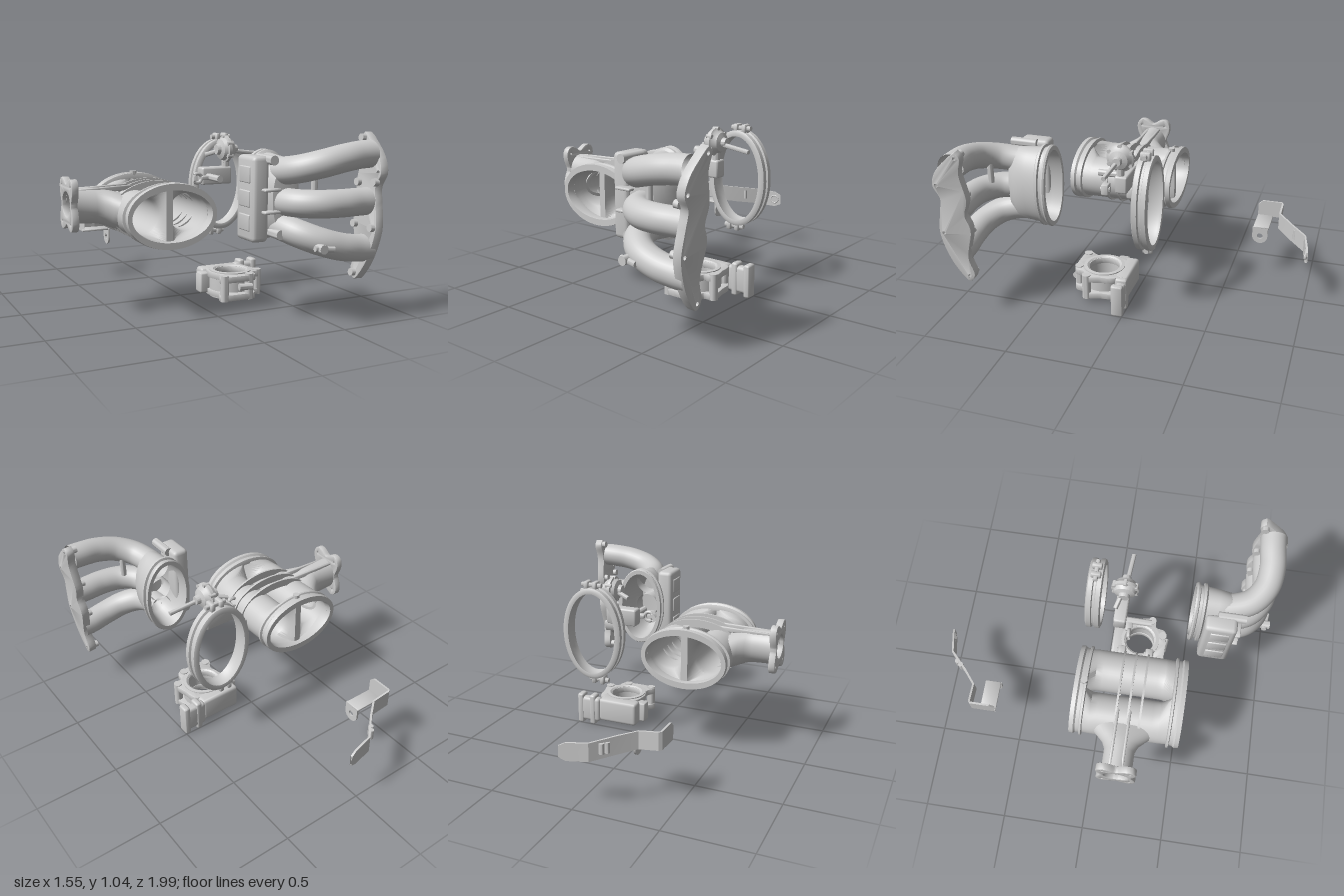
import * as THREE from 'three';
import { toCreasedNormals } from 'three/addons/utils/BufferGeometryUtils.js';
import { RoundedBoxGeometry } from 'three/addons/geometries/RoundedBoxGeometry.js';

const mat = new THREE.MeshStandardMaterial({ color: 0xcccccc, side: THREE.DoubleSide });
const V = (x, y, z) => new THREE.Vector3(x, y, z);

function add(parent, name, geo, crease = 0.7) {
  const m = new THREE.Mesh(toCreasedNormals(geo, crease), mat);
  m.name = name;
  parent.add(m);
  return m;
}
function group(parent, name) {
  const g = new THREE.Group();
  g.name = name;
  parent.add(g);
  return g;
}
// skin through closed loops of points
function loft(loops) {
  const n = loops[0].length, idx = [];
  for (let i = 0; i < loops.length - 1; i++)
    for (let j = 0; j < n; j++) {
      const k = (j + 1) % n, a = i * n + j, b = i * n + k, c = b + n, d = a + n;
      idx.push(a, b, c, a, c, d);
    }
  const g = new THREE.BufferGeometry().setFromPoints(loops.flat());
  g.setIndex(idx);
  g.computeVertexNormals();
  return g;
}
const ring = (n, f) => Array.from({ length: n }, (_, j) => f((j / n) * Math.PI * 2));
// elliptical lathe along z; profile rows are [rx, ry, z]
const ellipse = (cx, cy, profile, n = 56) => loft(profile.map(([rx, ry, z]) =>
  ring(n, t => V(cx + rx * Math.cos(t), cy + ry * Math.sin(t), z))));
const box = (p, name, x0, x1, y0, y1, z0, z1, r = 0.01) => add(p, name,
  new RoundedBoxGeometry(x1 - x0, y1 - y0, z1 - z0, 2, r).translate((x0 + x1) / 2, (y0 + y1) / 2, (z0 + z1) / 2));
// cylinder between two points
function rod(p, name, a, b, r, r2 = r, n = 20) {
  const d = b.clone().sub(a);
  const m = add(p, name, new THREE.CylinderGeometry(r2, r, d.length(), n));
  m.position.copy(a).addScaledVector(d, 0.5);
  m.quaternion.setFromUnitVectors(V(0, 1, 0), d.normalize());
  return m;
}
const extrude = (shape, depth, bevel = 0) => new THREE.ExtrudeGeometry(shape, {
  depth, curveSegments: 24, bevelEnabled: bevel > 0, bevelSize: bevel, bevelThickness: bevel, bevelSegments: 2 });
const hole = (x, y, r) => new THREE.Path().absarc(x, y, r, 0, Math.PI * 2, true);

function airbox(root) {
  const g = group(root, 'airPlenum'), cx = -0.275, cy = 0.59;
  // two tubes that merge into one oval at both ends
  const section = (s, z, w) => {
    const u = Math.min(1, Math.min(z + 0.11, 0.45 - z) / 0.09), b = u * u * (3 - 2 * u);
    return ring(40, t => {
      const c = Math.cos(t), y = Math.sin(t);
      const dx = w + Math.max(0, c) * (0.252 - 2 * w), rx = 0.133 + (0.122 - w) * c;
      return V(cx + s * (dx + (rx - dx) * b), cy + y * (0.166 + (0.125 - 0.166) * b - w), z);
    });
  };
  for (const s of [-1, 1]) {
    const zs = Array.from({ length: 15 }, (_, i) => -0.11 + 0.04 * i);
    const loops = [...zs.map(z => section(s, z, 0)), ...zs.reverse().map(z => section(s, z, 0.02))];
    loops.push(loops[0]);
    add(g, s < 0 ? 'rightTube' : 'leftTube', loft(loops));
  }
  // end collars
  const collar = (z0, d) => [[0.235, 0.148, 0], [0.252, 0.165, 0], [0.272, 0.18, 0.004], [0.272, 0.18, 0.016],
    [0.257, 0.172, 0.02], [0.257, 0.172, 0.04], [0.267, 0.183, 0.05], [0.264, 0.18, 0.075],
    [0.238, 0.143, 0.075], [0.232, 0.14, 0.04], [0.235, 0.148, 0]].map(([a, b, z]) => [a, b, z0 + d * z]);
  add(g, 'frontCollar', ellipse(cx, cy, collar(0.425, 1)));
  add(g, 'rearCollar', ellipse(cx, cy, collar(-0.065, -1)));
  // stiffening bands round both tubes
  for (const z of [0.12, 0.19, 0.26])
    add(g, 'band', ellipse(cx, cy, [[0.24, 0.125, z - 0.006], [0.268, 0.172, z - 0.006],
      [0.268, 0.172, z + 0.006], [0.24, 0.125, z + 0.006], [0.24, 0.125, z - 0.006]]));
  for (const z of [0.095, 0.26]) {
    box(g, 'sideLug', -0.04, 0.032, 0.54, 0.612, z - 0.024, z + 0.024);
    rod(g, 'lugBolt', V(0.005, 0.575, z - 0.03), V(0.005, 0.575, z + 0.03), 0.018);
  }
  rod(g, 'topBoss', V(cx, 0.73, -0.085), V(cx, 0.782, -0.085), 0.02);
  // side inlet duct: rows are [x, ry, rz, y]
  const duct = [[-0.75, 0.1, 0.088, 0.635], [-0.62, 0.1, 0.088, 0.63], [-0.58, 0.102, 0.105, 0.625],
    [-0.545, 0.106, 0.14, 0.615], [-0.5, 0.108, 0.19, 0.6], [-0.475, 0.1, 0.215, 0.6]];
  const loop = w => ([x, a, b, y]) => ring(40, t => V(x, y + (a - w) * Math.cos(t), 0.17 + (b - w) * Math.sin(t)));
  const d = [...duct.map(loop(0)), ...[...duct].reverse().map(loop(0.018))];
  add(g, 'inletDuct', loft([...d, d[0]]));
  const pad = new THREE.Shape(ring(64, t => {
    const r = 0.112 + 0.028 * Math.cos(4 * t - Math.PI);
    return new THREE.Vector2(r * Math.cos(t), 1.28 * r * Math.sin(t));
  }));
  pad.holes.push(hole(0, 0, 0.076));
  for (const a of [-1, 1]) for (const b of [-1, 1]) pad.holes.push(hole(0.08 * a, 0.103 * b, 0.011));
  add(g, 'inletFlange', extrude(pad, 0.03, 0.005)).rotation.y = -Math.PI / 2;
  g.children.at(-1).position.set(-0.738, 0.645, 0.17);
  for (const z of [0.13, 0.2]) {
    const rib = box(g, 'ductRib', -0.72, -0.38, 0.705, 0.735, z - 0.008, z + 0.008, 0.006);
    rib.rotation.z = 0.03;
    rib.position.y += 0.015;
  }
}

function manifold(root) {
  const g = group(root, 'intakeManifold');
  add(g, 'plenumShell', ellipse(0.28, 0.685, [[0.128, 0.222, 0.48], [0.152, 0.248, 0.48], [0.157, 0.254, 0.49],
    [0.152, 0.25, 0.502], [0.14, 0.238, 0.506], [0.14, 0.238, 0.522], [0.156, 0.252, 0.526], [0.156, 0.252, 0.54],
    [0.138, 0.236, 0.55], [0.13, 0.23, 0.62], [0.115, 0.225, 0.69], [0.08, 0.19, 0.735], [0, 0, 0.745], [0, 0, 0.7],
    [0.07, 0.17, 0.69], [0.105, 0.205, 0.64], [0.12, 0.216, 0.54], [0.128, 0.222, 0.48]]));
  box(g, 'plenumSide', 0.08, 0.18, 0.455, 0.92, 0.55, 0.735, 0.025);
  for (const y of [0.56, 0.69, 0.82]) box(g, 'plenumRelief', 0.073, 0.1, y - 0.045, y + 0.045, 0.59, 0.7, 0.006);
  // three swept runners: start and end heights
  for (const [y0, y1] of [[0.83, 0.925], [0.668, 0.668], [0.535, 0.41]]) {
    const at = (x, z, k) => V(x, y0 + (y1 - y0) * k, z);
    const path = new THREE.CatmullRomCurve3([at(0.275, 0.6, 0), at(0.28, 0.7, 0.05), at(0.32, 0.81, 0.25),
      at(0.41, 0.88, 0.55), at(0.53, 0.9, 0.83), at(0.64, 0.892, 0.97), at(0.715, 0.888, 1)]);
    add(g, 'runner', new THREE.TubeGeometry(path, 36, 0.076, 28));
  }
  // head flange, leaning slightly outwards at the top
  const outline = [[0.825, 1.035], [0.86, 1.01], [0.95, 0.92], [0.985, 0.83], [0.95, 0.75], [0.965, 0.66], [0.985, 0.52],
    [0.94, 0.36], [0.87, 0.25], [0.835, 0.232], [0.81, 0.28], [0.835, 0.39], [0.795, 0.56], [0.82, 0.66],
    [0.795, 0.76], [0.82, 0.91], [0.8, 1.0]].map(([z, y]) => new THREE.Vector2(z - 0.88, y - 0.635));
  const shape = new THREE.Shape(new THREE.SplineCurve([...outline, outline[0]]).getPoints(90).slice(0, -1));
  for (const [z, y] of [[0.828, 1.005], [0.84, 0.262], [0.965, 0.83], [0.962, 0.53]])
    shape.holes.push(hole(z - 0.88, y - 0.635, 0.011));
  const head = group(g, 'headFlange');
  head.position.set(0.72, 0.635, 0.88);
  head.rotation.z = -0.07;
  add(head, 'flangePlate', extrude(shape, 0.042, 0.004).rotateY(-Math.PI / 2).translate(0.021, 0, 0));
  for (const [z, y] of [[-0.055, 0.372], [-0.04, -0.373], [-0.06, 0.13], [0.08, 0.14], [-0.06, -0.1], [0.085, -0.105]])
    add(head, 'boltBoss', new THREE.CylinderGeometry(0.021, 0.021, 0.03, 18).rotateZ(Math.PI / 2).translate(-0.034, y, z));
  // small bosses and fittings
  rod(g, 'runnerBoss', V(0.33, 0.447, 0.95), V(0.44, 0.437, 0.965), 0.016);
  rod(g, 'sensorBoss', V(0.365, 0.445, 0.86), V(0.365, 0.445, 0.985), 0.025);
  rod(g, 'upperBoss', V(0.18, 0.9, 0.62), V(0.18, 0.9, 0.78), 0.026);
  rod(g, 'lowerBoss', V(0.22, 0.5, 0.66), V(0.22, 0.5, 0.79), 0.026);
  rod(g, 'linkStub', V(0.405, 0.72, 0.82), V(0.405, 0.85, 0.82), 0.018);
  for (const y of [0.62, 0.74]) box(g, 'web', 0.13, 0.23, y - 0.008, y + 0.008, 0.7, 0.775, 0.006);
}

function clampRing(root) {
  const g = group(root, 'clampRing');
  const prof = [[0.158, 0.252, -0.15], [0.178, 0.27, -0.153], [0.192, 0.285, -0.145], [0.192, 0.285, -0.118], [0.18, 0.272, -0.113],
    [0.18, 0.272, -0.1], [0.193, 0.286, -0.095], [0.193, 0.286, -0.068], [0.178, 0.27, -0.06], [0.158, 0.252, -0.063],
    [0.166, 0.26, -0.085], [0.166, 0.26, -0.13], [0.158, 0.252, -0.15]];
  add(g, 'ring', ellipse(0.316, 0.67, prof));
  for (const s of [-1, 1]) {
    const x = 0.306 + 0.02 * s, y = 0.67 + 0.295 * s;
    for (const d of [-0.028, 0.028]) box(g, 'ear', x + d - 0.014, x + d + 0.014, y - 0.027, y + 0.027, -0.135, -0.075, 0.008);
    rod(g, 'clampBolt', V(x - 0.065, y + 0.003 * s, -0.105), V(x + 0.065, y + 0.003 * s, -0.105), 0.014);
  }
}

function actuator(root) {
  const g = group(root, 'vacuumActuator');
  const prof = [[0, 0], [0.03, 0], [0.034, 0.02], [0.06, 0.03], [0.07, 0.05], [0.081, 0.054], [0.081, 0.072],
    [0.068, 0.078], [0.055, 0.105], [0.028, 0.115], [0.024, 0.14], [0, 0.14]].map(p => new THREE.Vector2(...p));
  add(g, 'diaphragm', new THREE.LatheGeometry(prof, 36).rotateZ(-Math.PI / 2).translate(0.205, 0.905, 0.07));
  for (let i = 0; i < 6; i++) {
    const t = i * Math.PI / 3, y = 0.905 + 0.074 * Math.cos(t), z = 0.07 + 0.074 * Math.sin(t);
    rod(g, 'crimp', V(0.25, y, z), V(0.287, y, z), 0.012, 0.012, 10);
  }
  rod(g, 'pushRod', V(0.3, 0.895, 0.075), V(0.505, 0.87, 0.09), 0.013);
  rod(g, 'hosePort', V(0.25, 0.9, 0.06), V(0.15, 0.87, 0.03), 0.014);
  // linkage housing and hooked lever
  rod(g, 'stem', V(0.27, 0.78, 0.07), V(0.27, 0.86, 0.07), 0.022);
  box(g, 'linkHousing', 0.1, 0.3, 0.695, 0.8, 0.025, 0.1, 0.012);
  rod(g, 'linkShaft', V(0.14, 0.745, 0.08), V(0.14, 0.745, 0.25), 0.02);
  box(g, 'leverArm', 0.075, 0.15, 0.73, 0.755, 0.1, 0.14, 0.006);
  add(g, 'leverHook', new THREE.TorusGeometry(0.028, 0.011, 10, 20, 4.6).rotateZ(-2.3).translate(0.052, 0.742, 0.125));
}

function throttle(root) {
  const g = group(root, 'throttleBody'), bx = 0.245, bz = 0.19;
  const pts = [[-0.09, -0.12], [0.11, -0.12], [0.145, -0.02], [0.16, 0.05], [0.145, 0.085], [0.1, 0.095],
    [0.085, 0.15], [0.04, 0.165], [-0.09, 0.165], [-0.14, 0.14], [-0.11, 0.08], [-0.13, 0], [-0.12, -0.08]]
    .map(([x, z]) => new THREE.Vector2(x, -z));
  const shape = new THREE.Shape(new THREE.SplineCurve([...pts, pts[0]]).getPoints(72).slice(0, -1).reverse());
  shape.holes.push(hole(0, 0, 0.096));
  for (const [y, d] of [[0.035, 0.03], [0.145, 0.03]])
    add(g, 'boreFlange', extrude(shape, d, 0.004).rotateX(-Math.PI / 2).translate(bx, y, bz));
  add(g, 'bore', new THREE.LatheGeometry([[0.096, 0.025], [0.125, 0.025], [0.128, 0.1], [0.125, 0.185], [0.105, 0.187],
    [0.096, 0.18], [0.096, 0.025]].map(p => new THREE.Vector2(...p)), 48).translate(bx, 0, bz));
  for (const [x, z] of [[0.13, 0.335], [0.295, 0.335], [0.392, 0.255]])
    rod(g, 'mountPost', V(x, 0.03, z), V(x, 0.185, z), 0.026);
  box(g, 'gearHousing', 0.1, 0.36, 0.03, 0.18, 0.01, 0.095, 0.02);
  box(g, 'connector', 0.065, 0.14, 0.04, 0.165, 0.08, 0.15, 0.012);
  box(g, 'motor', 0.35, 0.5, 0.02, 0.18, 0.0, 0.06, 0.02);
  for (const x of [0.4, 0.485]) box(g, 'motorFlange', x - 0.02, x + 0.02, 0, 0.2, -0.004, 0.066, 0.012);
  rod(g, 'frontPin', V(0.22, 0.11, 0.35), V(0.3, 0.11, 0.36), 0.02);
}

function bracket(root) {
  const g = group(root, 'supportBracket');
  // strap bent in plan: rows are [x, z, bottom, top]
  const path = [[-0.415, -0.632, 0.33, 0.41], [-0.415, -0.66, 0.33, 0.435], [-0.415, -0.78, 0.33, 0.435], [-0.405, -0.786, 0.328, 0.432],
    [-0.29, -0.786, 0.315, 0.418], [-0.2, -0.86, 0.3, 0.405], [-0.09, -0.965, 0.283, 0.388], [0.03, -0.988, 0.275, 0.378], [0.068, -0.996, 0.293, 0.358]];
  const t = 0.006;
  const loops = path.map(([x, z, a, b], i) => {
    const p = path[Math.max(0, i - 1)], q = path[Math.min(path.length - 1, i + 1)];
    const l = Math.hypot(q[0] - p[0], q[1] - p[1]), nx = -(q[1] - p[1]) / l * t, nz = (q[0] - p[0]) / l * t;
    return [V(x + nx, a, z + nz), V(x + nx, b, z + nz), V(x - nx, b, z - nz), V(x - nx, a, z - nz)];
  });
  add(g, 'strap', loft(loops), 0.5);
  box(g, 'shelf', -0.421, -0.23, 0.324, 0.337, -0.73, -0.632, 0.004);
  // drop tab with a rounded end and bolt hole
  const tab = new THREE.Shape().moveTo(-0.048, 0.06).lineTo(-0.048, 0).absarc(0, 0, 0.048, Math.PI, Math.PI * 2).lineTo(0.048, 0.06);
  tab.holes.push(hole(0, 0, 0.018));
  add(g, 'dropTab', extrude(tab, 0.012).rotateY(-Math.PI / 2).translate(-0.23, 0.272, -0.676));
  add(g, 'eyelet', new THREE.TorusGeometry(0.026, 0.007, 8, 24).rotateY(0.18).translate(0.028, 0.326, -0.985));
  for (const [x, z] of [[-0.165, -0.9], [-0.145, -0.925]]) rod(g, 'nub', V(x, 0.32, z), V(x, 0.38, z), 0.015);
}

export function createModel() {
  const root = new THREE.Group();
  root.name = 'intakeAssembly';
  for (const build of [airbox, manifold, clampRing, actuator, throttle, bracket]) build(root);
  return root;
}
